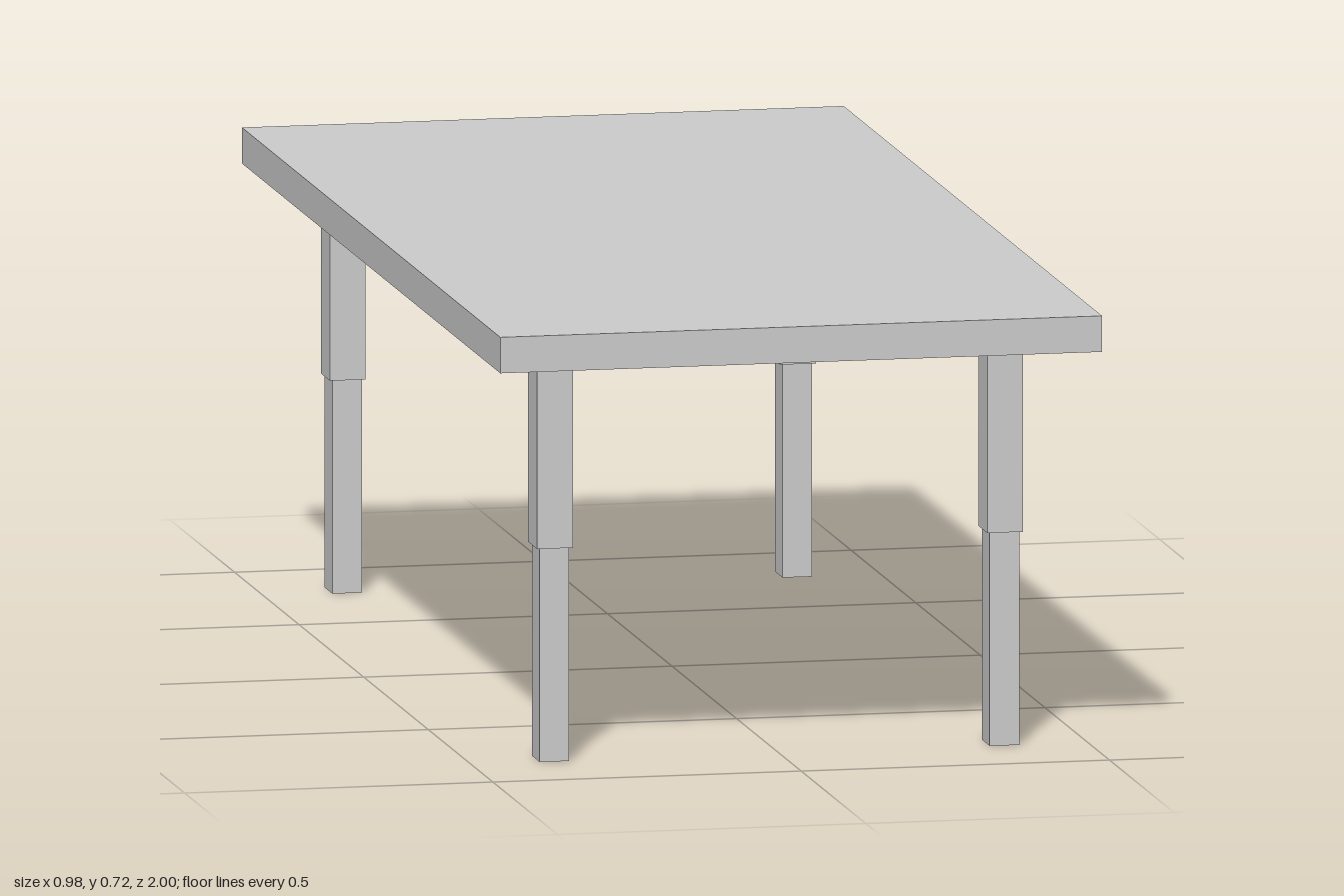
import * as THREE from 'three';

const material = new THREE.MeshStandardMaterial({ color: 0xcccccc, flatShading: true });

// Box spanning bottom to top in y
function slab(name, width, depth, bottom, top) {
  const mesh = new THREE.Mesh(new THREE.BoxGeometry(width, top - bottom, depth), material);
  mesh.position.y = (bottom + top) / 2;
  mesh.name = name;
  return mesh;
}

export function createModel() {
  const table = new THREE.Group();
  table.name = 'table';

  table.add(slab('tableTop', 0.976, 2, 0.658, 0.716));

  // Four telescoping legs: wide sleeve above, narrower foot post below
  for (const [side, sx] of [['Left', 1], ['Right', -1]]) {
    for (const [end, sz] of [['front', 1], ['back', -1]]) {
      const leg = new THREE.Group();
      leg.name = `${end}${side}Leg`;
      leg.add(slab('upperSleeve', 0.058, 0.07, 0.344, 0.658));
      leg.add(slab('lowerPost', 0.048, 0.06, 0, 0.344));
      leg.position.set(sx * 0.365, 0, sz * 0.802);
      table.add(leg);
    }
  }
  return table;
}
